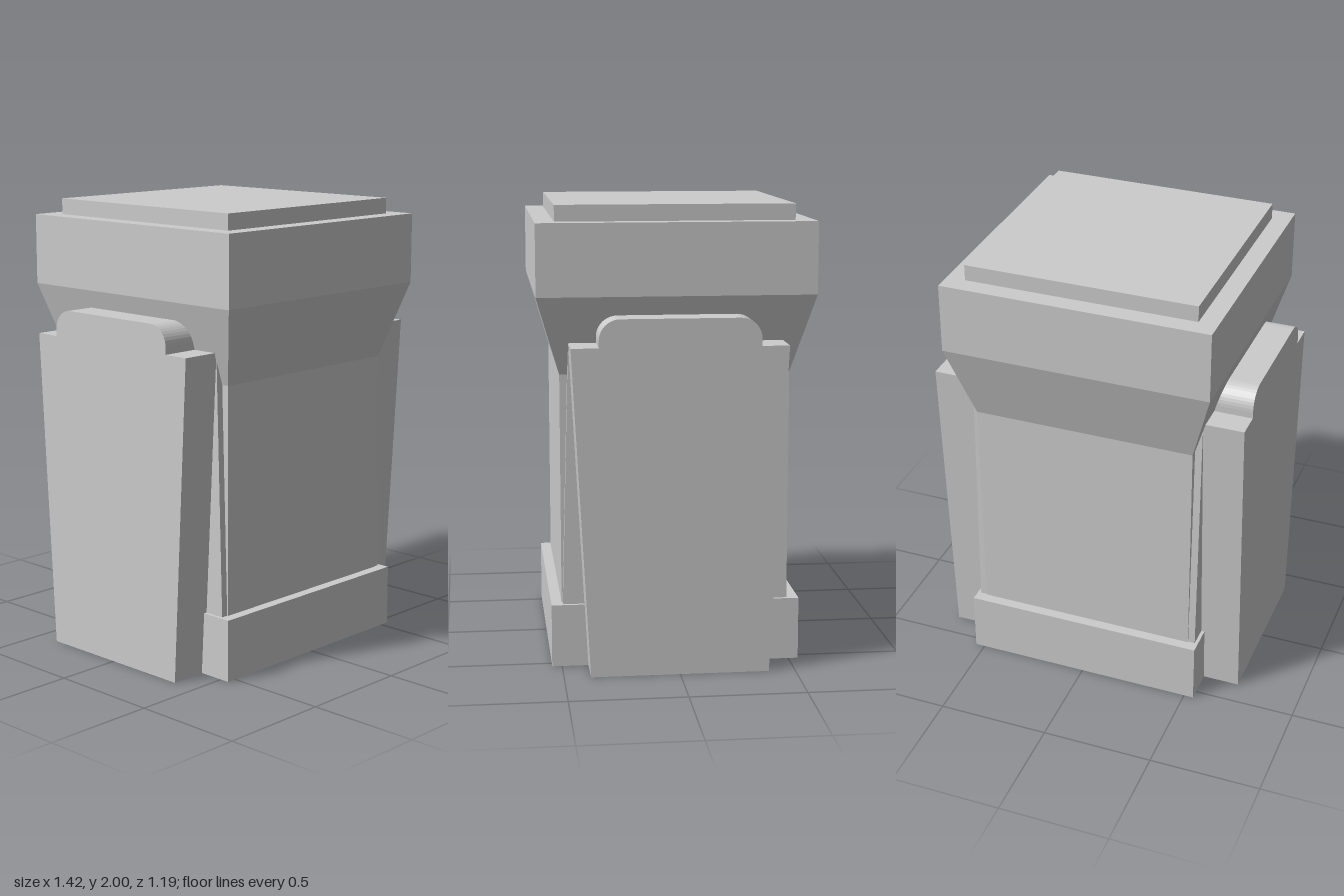
import * as THREE from 'three';

const material = new THREE.MeshStandardMaterial({ color: 0xcccccc, flatShading: true });

// Rectangular block between two heights, with separate half-sizes at bottom and top
function block(name, y0, y1, [bx, bz], [tx, tz] = [bx, bz]) {
  const geo = new THREE.BoxGeometry(2, y1 - y0, 2);
  geo.translate(0, (y0 + y1) / 2, 0);
  const p = geo.attributes.position;
  const mid = (y0 + y1) / 2;
  for (let i = 0; i < p.count; i++) {
    const top = p.getY(i) > mid;
    p.setX(i, p.getX(i) * (top ? tx : bx));
    p.setZ(i, p.getZ(i) * (top ? tz : bz));
  }
  geo.computeVertexNormals();
  const mesh = new THREE.Mesh(geo, material);
  mesh.name = name;
  return mesh;
}

// Side slab outline (z across, y up): narrow foot, shoulders and a rounded crown
function slabGeometry(inner, outer) {
  const r = 0.09, crown = 0.343, shoulder = 1.42, top = 1.54;
  const s = new THREE.Shape();
  s.moveTo(-0.385, 0);
  s.lineTo(0.385, 0);
  s.lineTo(0.46, shoulder);
  s.lineTo(crown, shoulder);
  s.lineTo(crown, top - r);
  s.absarc(crown - r, top - r, r, 0, Math.PI / 2, false);
  s.lineTo(-crown + r, top);
  s.absarc(-crown + r, top - r, r, Math.PI / 2, Math.PI, false);
  s.lineTo(-crown, shoulder);
  s.lineTo(-0.46, shoulder);
  s.closePath();
  const geo = new THREE.ExtrudeGeometry(s, { depth: outer - inner, bevelEnabled: false, curveSegments: 5 });
  geo.translate(0, 0, inner);
  geo.rotateY(Math.PI / 2);
  return geo;
}

export function createModel() {
  const model = new THREE.Group();
  model.name = 'pillar';

  model.add(
    block('base', 0, 0.275, [0.543, 0.543]),
    block('shaft', 0.275, 1.28, [0.497, 0.497]),
    // Wider core that narrows in depth towards the top
    block('taperedCore', 0.275, 1.42, [0.528, 0.493], [0.528, 0.46]),
    block('flare', 1.28, 1.62, [0.497, 0.497], [0.597, 0.597]),
    block('capital', 1.62, 1.93, [0.597, 0.597]),
    block('topPlate', 1.93, 2, [0.513, 0.513])
  );

  // Mirrored slabs on both sides
  const slab = slabGeometry(0.45, 0.708);
  for (const side of [1, -1]) {
    const mesh = new THREE.Mesh(slab, material);
    mesh.name = side > 0 ? 'leftSlab' : 'rightSlab';
    if (side < 0) mesh.rotation.y = Math.PI;
    model.add(mesh);
  }
  return model;
}
